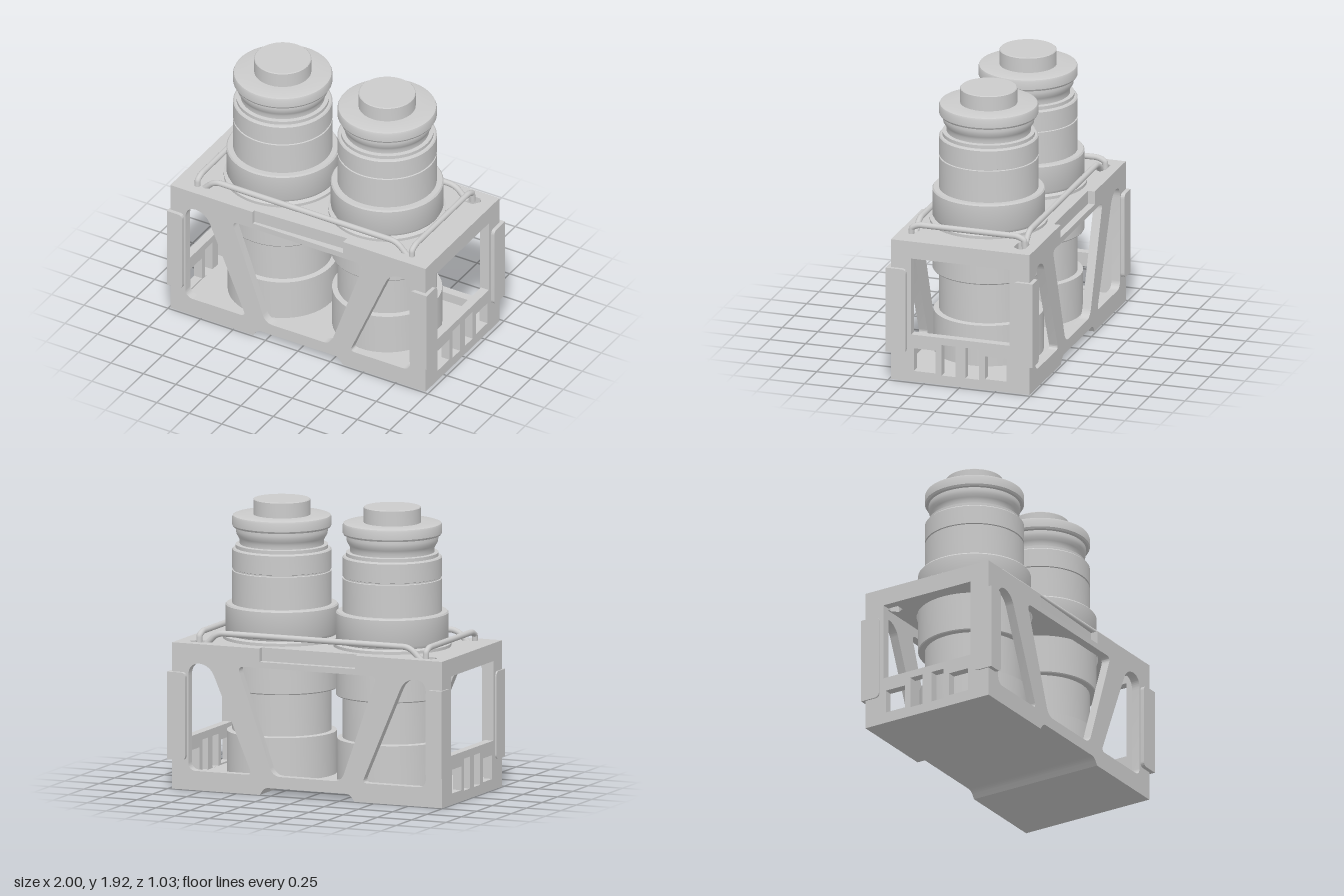
import * as THREE from 'three';
import { toCreasedNormals } from 'three/addons/utils/BufferGeometryUtils.js';

const mat = new THREE.MeshStandardMaterial({ color: 0xcccccc });
const W = 0.9825, D = 0.487, H = 0.985, T = 0.06; // half width, half depth, height, wall

function add(parent, name, geo, x = 0, y = 0, z = 0) {
  const m = new THREE.Mesh(geo, mat);
  m.name = name;
  m.position.set(x, y, z);
  parent.add(m);
  return m;
}

// Traces a polygon whose corners [x, y, radius] are rounded off
function rounded(pts, path = new THREE.Path()) {
  pts.forEach(([x, y, r = 0], i) => {
    const p = new THREE.Vector2(x, y);
    const toward = (q) => new THREE.Vector2(q[0], q[1]).sub(p).normalize().multiplyScalar(r).add(p);
    const a = toward(pts[(i + pts.length - 1) % pts.length]);
    const b = toward(pts[(i + 1) % pts.length]);
    if (i === 0) path.moveTo(a.x, a.y); else path.lineTo(a.x, a.y);
    if (r) path.quadraticCurveTo(x, y, b.x, b.y);
  });
  path.closePath();
  return path;
}
const shape = (pts) => rounded(pts, new THREE.Shape());
const rect = (x0, y0, x1, y1) => [[x0, y0], [x1, y0], [x1, y1], [x0, y1]];
const mirror = (pts) => pts.map(([x, y, r]) => [-x, y, r]).reverse();
function extrude(s, depth) {
  const g = new THREE.ExtrudeGeometry(s, { depth, bevelEnabled: false, curveSegments: 24 });
  return toCreasedNormals(g, 0.5);
}

// Underside notch shared by the side panels and the floor
const notch = [[-W, 0], [-0.345, 0], [-0.31, 0.05, 0.03], [0.31, 0.05, 0.03], [0.345, 0], [W, 0]];

// Long truss panel with angled windows and a shallow cutout at the top edge
function trussPanel() {
  const s = shape([...notch, [W, H], [0.348, H], [0.348, 0.895], [-0.348, 0.895], [-0.348, H], [-W, H]]);
  const tri = [[0.4, 0.13, 0.04], [0.865, 0.13, 0.06], [0.865, 0.855, 0.09], [0.71, 0.855, 0.09]];
  const mid = [[-0.25, 0.13, 0.06], [0.25, 0.13, 0.06], [0.507, 0.855, 0.05], [-0.507, 0.855, 0.05]];
  s.holes.push(rounded(tri), rounded(mirror(tri)), rounded(mid));
  return extrude(s, T);
}

// End panel with one large window above four small ones
function endPanel() {
  const w = D - T;
  const s = shape(rect(-w, 0, w, H));
  const windows = [[-0.345, 0.33, 0.345, 0.865]];
  for (const k of [-1, 1]) {
    windows.push([k * 0.25 - 0.076, 0.075, k * 0.25 + 0.076, 0.235]);
    windows.push([k * 0.083 - 0.048, 0.065, k * 0.083 + 0.048, 0.28]);
  }
  windows.forEach((r) => s.holes.push(rounded(rect(...r))));
  return extrude(s, T);
}

// Top plate with two round openings and two corner pockets at the back
function roofPlate() {
  const w = W - T, d = D - T;
  const s = shape(rect(-w, -d, w, d));
  for (const k of [-1, 1]) {
    const hole = new THREE.Path();
    hole.absarc(k * 0.402, 0, 0.385, 0, Math.PI * 2);
    s.holes.push(hole);
    const pocket = [[0.74, 0.38], [0.78, 0.418], [0.875, 0.418], [0.9, 0.385], [0.865, 0.335], [0.765, 0.335]];
    s.holes.push(rounded(k > 0 ? pocket : mirror(pocket)));
  }
  const g = extrude(s, 0.065);
  g.rotateX(-Math.PI / 2);
  return g;
}

// Stepped canister turned around its axis
function canister() {
  const profile = [
    [0, 0.08], [0.366, 0.08], [0.366, 0.365], [0.33, 0.37], [0.33, 0.655], [0.37, 0.655], [0.375, 0.662],
    [0.375, 0.97], [0.392, 0.985], [0.392, 1.005], [0.365, 1.015], [0.375, 1.035],
    [0.375, 1.21], [0.367, 1.22], [0.33, 1.22], [0.33, 1.44], [0.322, 1.443], [0.322, 1.452], [0.33, 1.455],
    [0.33, 1.582], [0.322, 1.59], [0.308, 1.592], [0.308, 1.615], [0.28, 1.618], [0.28, 1.645],
    [0.29, 1.665], [0.302, 1.685], [0.306, 1.71], [0.304, 1.73], [0.322, 1.732], [0.33, 1.745],
    [0.33, 1.798], [0.325, 1.81], [0.312, 1.815], [0.19, 1.815], [0.19, 1.915], [0.185, 1.92], [0, 1.92],
  ].map(([r, y]) => new THREE.Vector2(r, y));
  return toCreasedNormals(new THREE.LatheGeometry(profile, 80), 0.5);
}

// Bent wire handle lying along x
function handle(half, run) {
  const path = new THREE.CurvePath();
  const v = (x, y) => new THREE.Vector3(x, y, 0);
  const bend = 0.035, top = 1.05;
  const a = v(run + bend, top - 0.025), b = v(run - bend, top);
  path.add(new THREE.LineCurve3(v(-half, 0.96), v(-a.x, a.y)));
  path.add(new THREE.QuadraticBezierCurve3(v(-a.x, a.y), v(-run, top), v(-b.x, top)));
  path.add(new THREE.LineCurve3(v(-b.x, top), b));
  path.add(new THREE.QuadraticBezierCurve3(b, v(run, top), a));
  path.add(new THREE.LineCurve3(a, v(half, 0.96)));
  return new THREE.TubeGeometry(path, 100, 0.02, 14);
}

// Flat guard plate with its free-edge corners rounded
const guard = (width, thick) => extrude(
  shape([[0, 0.2, 0.035], [width, 0.2], [width, 0.79], [0, 0.79, 0.035]]), thick);

export function createModel() {
  const model = new THREE.Group();
  model.name = 'twinCanisterCrate';
  const body = new THREE.Group();
  body.name = 'crateAssembly';
  body.position.x = -0.008;
  model.add(body);

  // Crate walls, floor and roof
  add(body, 'frontPanel', trussPanel(), 0, 0, D - T);
  add(body, 'backPanel', trussPanel(), 0, 0, -D);
  for (const k of [-1, 1]) {
    const end = add(body, k > 0 ? 'leftEndPanel' : 'rightEndPanel', endPanel(), k * (W - T), 0, 0);
    end.rotation.y = k * Math.PI / 2;
  }
  const floor = notch.map(([x, y, r]) => [Math.abs(x) === W ? Math.sign(x) * (W - T) : x, y, r]);
  add(body, 'floor', extrude(shape([...floor, [W - T, 0.064], [T - W, 0.064]]), 2 * (D - T)), 0, 0, T - D);
  add(body, 'roof', roofPlate(), 0, H - 0.065, 0);

  // Recessed strips at the top edges, the front one slightly tilted
  const strip = (z0, z1) => {
    const g = extrude(shape([[-0.348, -D + T], [0.348, -D + T], [0.348, -z1], [-0.348, -z0]].reverse()), 0.09);
    g.rotateX(-Math.PI / 2);
    return g;
  };
  add(body, 'frontRecess', strip(0.465, 0.437), 0, 0.895, 0);
  add(body, 'backRecess', strip(0.44, 0.44), 0, 0.895, 0).rotation.y = Math.PI;

  // Canisters
  const can = canister();
  for (const k of [-1, 1]) add(body, k > 0 ? 'leftCanister' : 'rightCanister', can, k * 0.402, 0, 0);

  // Wire handles around the roof
  for (const k of [-1, 1]) {
    add(body, 'longHandle', handle(0.79, 0.69), 0, 0, k * 0.385);
    add(body, 'endHandle', handle(0.4, 0.36), k * 0.825, 0, 0).rotation.y = Math.PI / 2;
  }

  // Corner guards, one plate on each face of a corner
  for (const kx of [-1, 1]) for (const kz of [-1, 1]) {
    const corner = new THREE.Group();
    corner.name = 'cornerGuard';
    body.add(corner);
    const out = kx > 0 ? 1.008 : 0.992;
    const long = add(corner, 'facePlate', guard(out - 0.875, 0.035), kx * 0.875, 0, kz * 0.48);
    const side = add(corner, 'endPlate', guard(0.105, out - 0.97), kx * 0.97, 0, kz * 0.375);
    // Orient by moving vertices so winding stays outward
    long.geometry = orient(long.geometry, (x, y, z) => [kx * x, y, kz * z], kx * kz < 0);
    side.geometry = orient(side.geometry, (x, y, z) => [kx * z, y, kz * x], kx * kz > 0);
  }
  return model;
}

// Remaps vertices by a rule, reversing triangles when the rule mirrors
function orient(geo, rule, flip) {
  const p = geo.attributes.position, out = [];
  for (let i = 0; i < p.count; i += 3) {
    for (const j of flip ? [0, 2, 1] : [0, 1, 2]) {
      out.push(...rule(p.getX(i + j), p.getY(i + j), p.getZ(i + j)));
    }
  }
  const g = new THREE.BufferGeometry();
  g.setAttribute('position', new THREE.Float32BufferAttribute(out, 3));
  return toCreasedNormals(g, 0.5);
}
